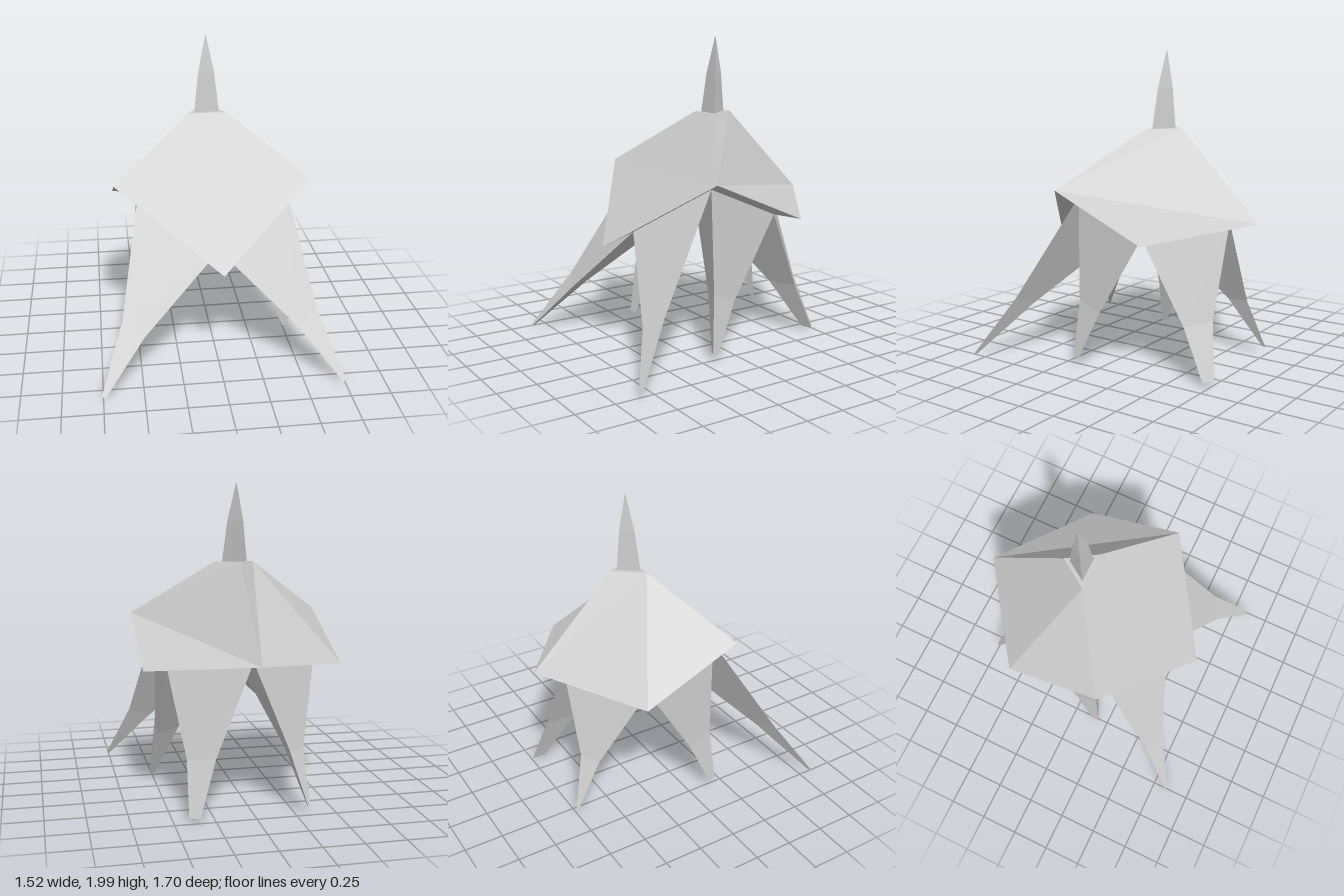
import * as THREE from 'three';

const material = new THREE.MeshStandardMaterial({ color: 0xcccccc, flatShading: true });
const V = (x, y, z) => new THREE.Vector3(x, y, z);
const mirror = (p) => V(-p.x, p.y, p.z);
const middle = (ring) => ring.reduce((s, p) => s.add(p), V(0, 0, 0)).divideScalar(ring.length);

// Flat-shaded mesh from convex polygons
function polyMesh(name, polygons) {
  const points = [];
  for (const poly of polygons)
    for (let i = 1; i < poly.length - 1; i++) points.push(poly[0], poly[i], poly[i + 1]);
  const geometry = new THREE.BufferGeometry().setFromPoints(points);
  geometry.computeVertexNormals();
  const mesh = new THREE.Mesh(geometry, material);
  mesh.name = name;
  return mesh;
}

// Three-sided spike: a base ring repeated at a smaller size at the knee and tip
function spike(name, base, tip, kneeAt, kneeSize, tipSize) {
  const centre = middle(base);
  const dir = tip.clone().sub(centre);
  const normal = base[1].clone().sub(base[0]).cross(base[2].clone().sub(base[0]));
  const ring = normal.dot(dir) < 0 ? [...base].reverse() : base;
  const ringAt = (t, size) => ring.map((p) =>
    p.clone().sub(centre).multiplyScalar(size).add(centre).addScaledVector(dir, t));
  const rings = [ring, ringAt(kneeAt, kneeSize), ringAt(1, tipSize)];
  const polygons = [[...ring].reverse(), rings[2]];
  for (let r = 0; r < 2; r++)
    for (let i = 0; i < 3; i++) {
      const j = (i + 1) % 3;
      polygons.push([rings[r][i], rings[r][j], rings[r + 1][j], rings[r + 1][i]]);
    }
  return polyMesh(name, polygons);
}

export function createModel() {
  const group = new THREE.Group();

  // Shell corners: small top triangle, wide zigzag rim, centre of the underside
  const topLeft = V(0.125, 1.5, -0.1), topRight = mirror(topLeft), topBack = V(0, 1.51, -0.29);
  const front = V(0.01, 0.7, 0.68), back = V(0, 0.95, -0.85);
  const sideFront = V(0.63, 1.143, 0.235), sideBack = V(0.63, 0.866, -0.405);
  const hub = V(0, 0.92, -0.02);
  const rim = [front, sideFront, sideBack, back, mirror(sideBack), mirror(sideFront)];

  const faces = [
    [topLeft, topBack, topRight],
    [topRight, topLeft, sideFront, front, mirror(sideFront)],
    [topLeft, topBack, back, sideBack, sideFront],
    [topRight, topBack, back, mirror(sideBack), mirror(sideFront)],
  ];
  rim.forEach((p, i) => faces.push([p, rim[(i + 1) % 6], hub]));

  // Turn every face away from the inside of the shell
  const inside = V(0, 1.15, -0.05);
  const shellFaces = faces.map((f) => {
    const n = f[1].clone().sub(f[0]).cross(f[2].clone().sub(f[0]));
    return n.dot(f[0].clone().sub(inside)) < 0 ? [...f].reverse() : f;
  });
  group.add(polyMesh('shell', shellFaces));

  // Horn on the top triangle
  const cap = [topLeft, topBack, topRight];
  const capCentre = middle(cap);
  const hornBase = cap.map((p) => p.clone().lerp(capCentre, 0.35));
  group.add(spike('horn', hornBase, V(0, 1.995, -0.178), 0.52, 0.64, 0.03));

  // Six legs, each on its own sector of the underside
  const inset = [0.68, 0.75, 0.755, 0.76, 0.755, 0.75];
  const roots = rim.map((p, i) => hub.clone().lerp(p, inset[i]));
  const legs = [
    ['leftFrontLeg', V(0.747, 0.01, 0.838), 0.27, 0.04],
    ['leftMiddleLeg', V(0.51, 0.05, 0.17), 0.32, 0.08],
    ['leftRearLeg', V(0.365, 0.03, -0.71), 0.33, 0.13],
    ['rightRearLeg', V(-0.322, 0.062, -0.745), 0.22, 0.035],
    ['rightMiddleLeg', V(-0.51, 0.05, 0.17), 0.32, 0.08],
    ['rightFrontLeg', V(-0.747, 0.01, 0.838), 0.27, 0.04],
  ];
  legs.forEach(([name, tip, knee, end], i) =>
    group.add(spike(name, [roots[i], roots[(i + 1) % 6], hub], tip, 0.63, knee, end)));

  return group;
}
